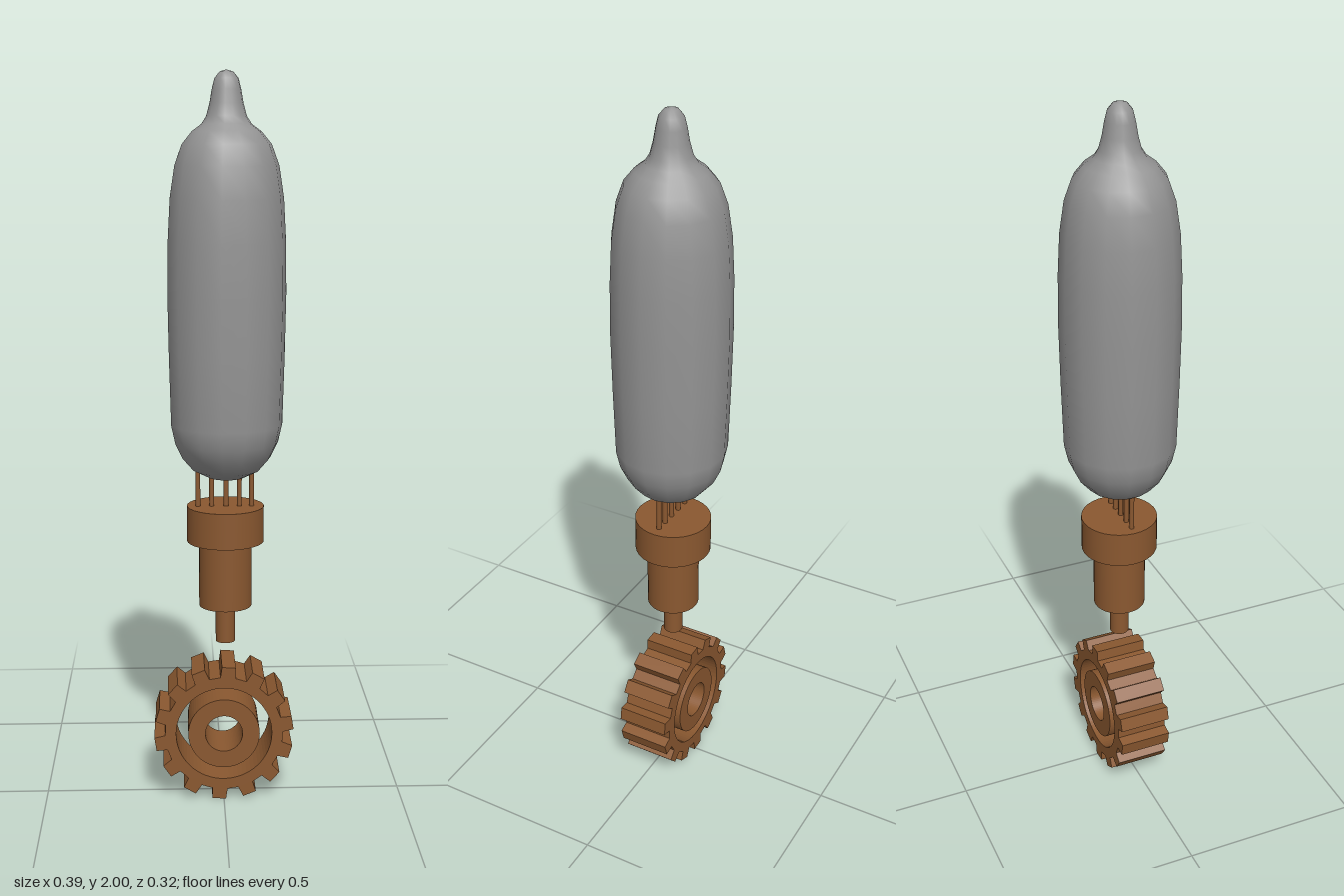
import * as THREE from 'three';

const glass = new THREE.MeshStandardMaterial({ color: 0x949494 });
glass.name = 'grey glass';
const copper = new THREE.MeshStandardMaterial({ color: 0x8a5830 });
copper.name = 'brown metal';

const AXIS_X = 0.006, AXIS_Z = -0.005;

function add(parent, name, geometry, material, x = 0, y = 0, z = 0) {
  const mesh = new THREE.Mesh(geometry, material);
  mesh.name = name;
  mesh.position.set(x, y, z);
  parent.add(mesh);
  return mesh;
}

// Upright cylinder between two heights
function post(parent, name, radius, y0, y1, x, z, sides = 32) {
  add(parent, name, new THREE.CylinderGeometry(radius, radius, y1 - y0, sides), copper, x, (y0 + y1) / 2, z);
}

// Flat outline with a round hole, extruded along z
function plateWithHole(shape, holeRadius, depth) {
  shape.holes.push(new THREE.Path().absarc(0, 0, holeRadius, 0, Math.PI * 2, true));
  const geometry = new THREE.ExtrudeGeometry(shape, { depth, bevelEnabled: false, curveSegments: 32 });
  return geometry.translate(0, 0, -depth / 2);
}

// Toothed outline: root, tip, tip, root for each tooth
function gearOutline(teeth, root, tip, phase) {
  const points = [];
  const step = (Math.PI * 2) / teeth;
  for (let i = 0; i < teeth; i++) {
    for (const [offset, r] of [[-0.29, root], [-0.22, tip], [0.22, tip], [0.29, root]]) {
      const a = phase + (i + offset) * step;
      points.push(new THREE.Vector2(Math.cos(a) * r, Math.sin(a) * r));
    }
  }
  return new THREE.Shape(points);
}

export function createModel() {
  const model = new THREE.Group();
  model.name = 'tubeAndGear';

  // Rounded tube with a drawn-out tip, fifteen-sided
  const profile = [
    [0, 0.912], [0.05, 0.917], [0.092, 0.938], [0.122, 0.973], [0.142, 1.015], [0.153, 1.065],
    [0.158, 1.25], [0.161, 1.42], [0.159, 1.56], [0.153, 1.67], [0.14, 1.755], [0.12, 1.81],
    [0.093, 1.843], [0.067, 1.862], [0.054, 1.882], [0.045, 1.915], [0.039, 1.95],
    [0.032, 1.978], [0.018, 1.995], [0, 2],
  ].map(([r, y]) => new THREE.Vector2(r, y));
  add(model, 'bulb', new THREE.LatheGeometry(profile, 15, Math.PI / 2), glass, 0.008, 0, -0.001);

  // Contact pins in a row
  const pins = new THREE.Group();
  pins.name = 'pins';
  model.add(pins);
  for (const x of [-0.07, -0.032, 0.007, 0.044, 0.078]) post(pins, 'pin', 0.007, 0.82, 0.96, x, 0, 10);

  // Stepped socket
  const socket = new THREE.Group();
  socket.name = 'socket';
  model.add(socket);
  post(socket, 'flange', 0.106, 0.735, 0.835, AXIS_X, AXIS_Z);
  post(socket, 'body', 0.073, 0.55, 0.735, AXIS_X, AXIS_Z);
  post(socket, 'stem', 0.027, 0.445, 0.55, AXIS_X, AXIS_Z);

  // Gear ring and separate hub
  const gear = new THREE.Group();
  gear.name = 'gear';
  gear.position.set(0, 0.195, -0.0065);
  model.add(gear);
  const phase = THREE.MathUtils.degToRad(86);
  add(gear, 'toothedRing', plateWithHole(gearOutline(14, 0.165, 0.195, phase), 0.134, 0.147), copper);
  const hubShape = new THREE.Shape().absarc(0, 0, 0.1, 0, Math.PI * 2, false);
  add(gear, 'hub', plateWithHole(hubShape, 0.052, 0.147), copper);

  return model;
}
